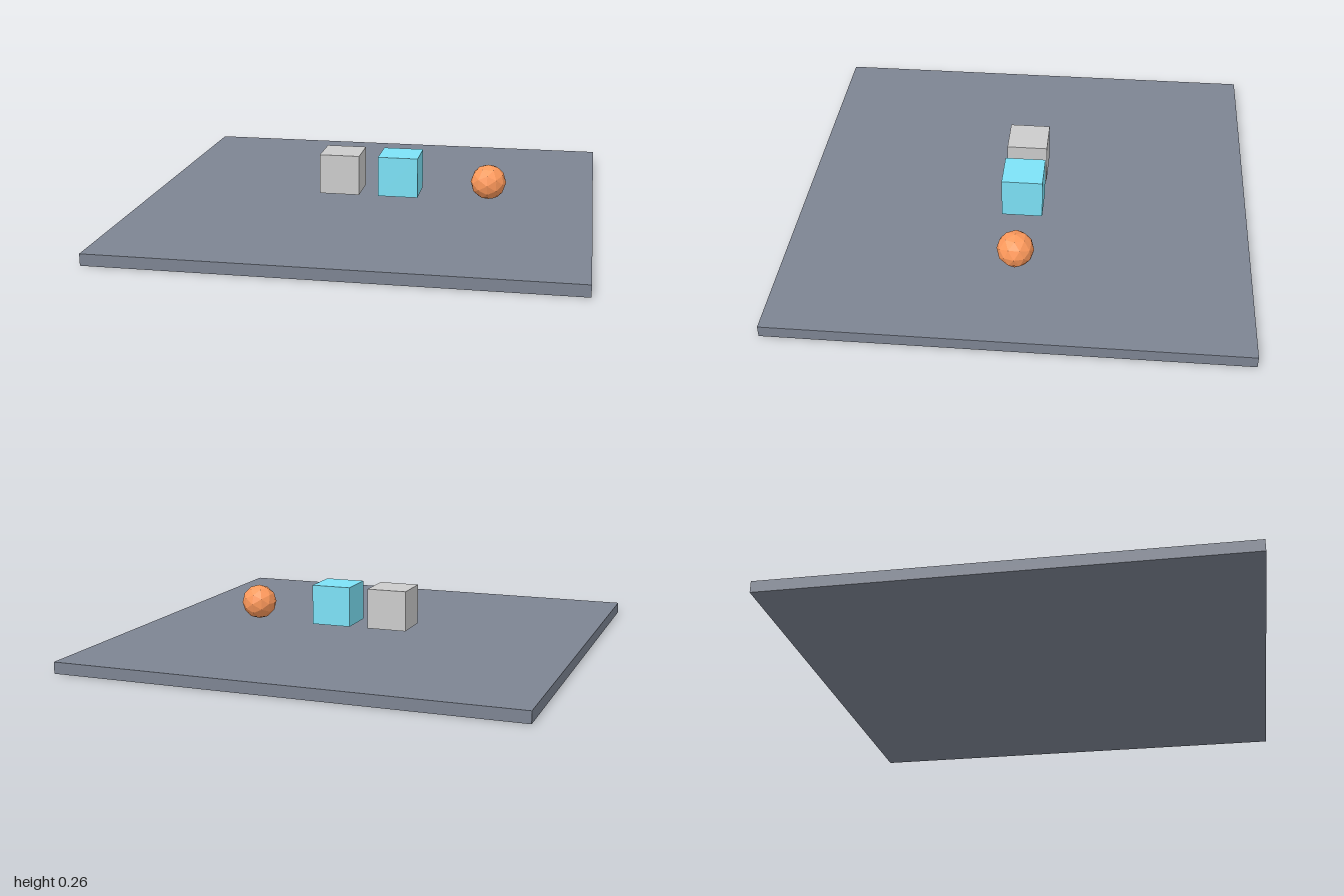
import * as THREE from 'three';

export function createModel() {
  const model = new THREE.Group();

  const add = (name, geometry, color, x, y) => {
    const material = new THREE.MeshStandardMaterial({ color, flatShading: true });
    const mesh = new THREE.Mesh(geometry, material);
    mesh.name = name;
    mesh.position.set(x, y, 0);
    model.add(mesh);
  };

  // Square floor slab
  add('floor', new THREE.BoxGeometry(2, 0.05, 2), 0x7d8492, 0, 0.025);

  // Pair of cubes hovering just above the floor
  const cube = new THREE.BoxGeometry(0.18, 0.18, 0.18);
  add('greyCube', cube, 0xcccccc, -0.133, 0.168);
  add('cyanCube', cube, 0x7de2f7, 0.133, 0.168);

  // Faceted ball
  add('ball', new THREE.IcosahedronGeometry(0.08, 1), 0xff9a5c, 0.533, 0.143);

  return model;
}
